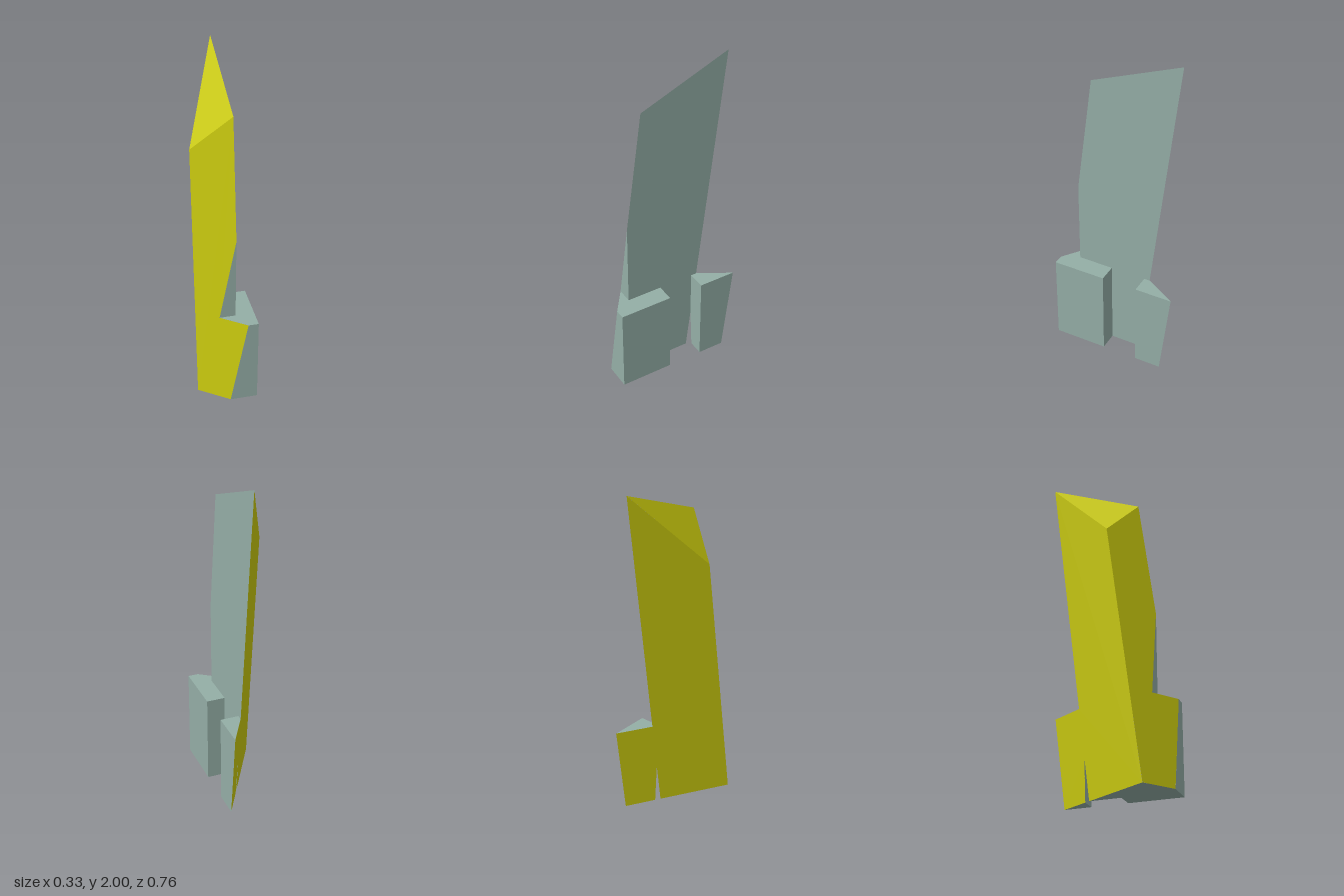
import * as THREE from 'three';

// Sloping facade planes: depth z as a function of x and y
const frontZ = (x, y) => 0.376 + 0.73 * x - 0.134 * y;
const backZ = (x, y) => -0.03 - 1.727 * x - 0.12 * y;
const capZ = (x, y) => 4.386 + 3.373 * x - 2.468 * y;

// Ways of placing a flat outline in space
const onSlope = (f) => (x, y) => [x, y, f(x, y)];
const atX = (x) => (z, y) => [x, y, z];
const atY = (y) => (x, z) => [x, y, z];
const atZ = (z) => (x, y) => [x, y, z];

// Flat panel from a 2D outline; flip turns its front to the other side
function panel(name, material, place, flip, outline) {
  const shape = new THREE.Shape(outline.map(([u, v]) => new THREE.Vector2(u, v)));
  const geo = new THREE.ShapeGeometry(shape);
  const p = geo.attributes.position;
  for (let i = 0; i < p.count; i++) p.setXYZ(i, ...place(p.getX(i), p.getY(i)));
  if (flip) geo.index.array.reverse();
  geo.computeVertexNormals();
  const mesh = new THREE.Mesh(geo, material);
  mesh.name = name;
  return mesh;
}

export function createModel() {
  const yellow = new THREE.MeshStandardMaterial({ color: 0xc8c80d });
  yellow.name = 'yellow cladding';
  const glass = new THREE.MeshStandardMaterial({ color: 0x94aea6 });
  glass.name = 'grey green glass';

  const group = new THREE.Group();
  group.name = 'wedgeTower';
  const W = 0.055, E = 0.165, H = 0.54; // tower wall, podium edge, podium height

  group.add(
    // Yellow sloping facades and roof
    panel('frontFacade', yellow, onSlope(frontZ), false,
      [[-0.165, 0], [0.005, 0], [0.105, H], [-0.039, H], [W, 1.053], [W, 1.78], [-0.157, 1.54]]),
    panel('backFacade', yellow, onSlope(backZ), true,
      [[-0.165, 0], [W, 0], [W, 0.25], [0.072, 0], [E, 0], [E, H], [W, H], [W, 2], [-0.157, 1.54]]),
    panel('roof', yellow, onSlope(capZ), false, [[-0.157, 1.54], [W, 1.78], [W, 2]]),

    // Upright tower walls
    panel('towerSideWall', glass, atX(W), true,
      [[-0.125, 0], [0.06, 0], [0.06, H], [0.275, H], [0.275, 1.053], [0.178, 1.78],
        [-0.365, 2], [-0.19, H], [-0.155, H], [-0.155, 0.25]]),
    panel('towerFrontWall', glass, atZ(0.275), false, [[-0.039, H], [W, H], [W, 1.053]]),

    // Front podium
    panel('frontPodiumFront', glass, atZ(0.38), false, [[0.005, 0], [E, 0], [E, H], [0.105, H]]),
    panel('frontPodiumSide', glass, atX(E), true, [[0.06, 0], [0.38, 0], [0.38, H], [0.06, H]]),
    panel('frontPodiumBack', glass, atZ(0.06), true, [[W, 0], [E, 0], [E, H], [W, H]]),
    panel('frontPodiumTop', glass, atY(H), true,
      [[-0.039, 0.275], [W, 0.275], [W, 0.06], [E, 0.06], [E, 0.38], [0.105, 0.38]]),

    // Back podium
    panel('backPodiumFront', glass, atZ(-0.155), false,
      [[0.072, 0], [E, 0], [E, H], [W, H], [W, 0.25]]),
    panel('backPodiumSide', glass, atX(E), true,
      [[-0.315, 0], [-0.155, 0], [-0.155, H], [-0.38, H]]),
    panel('backPodiumTop', glass, atY(H), true,
      [[W, -0.19], [W, -0.155], [E, -0.155], [E, -0.38]]),

    // Undersides
    panel('towerBase', glass, atY(0), false,
      [[-0.165, 0.255], [0.005, 0.38], [E, 0.38], [E, 0.06], [W, 0.06], [W, -0.125]]),
    panel('backPodiumBase', glass, atY(0), false, [[0.072, -0.155], [E, -0.155], [E, -0.315]]),
  );
  return group;
}
